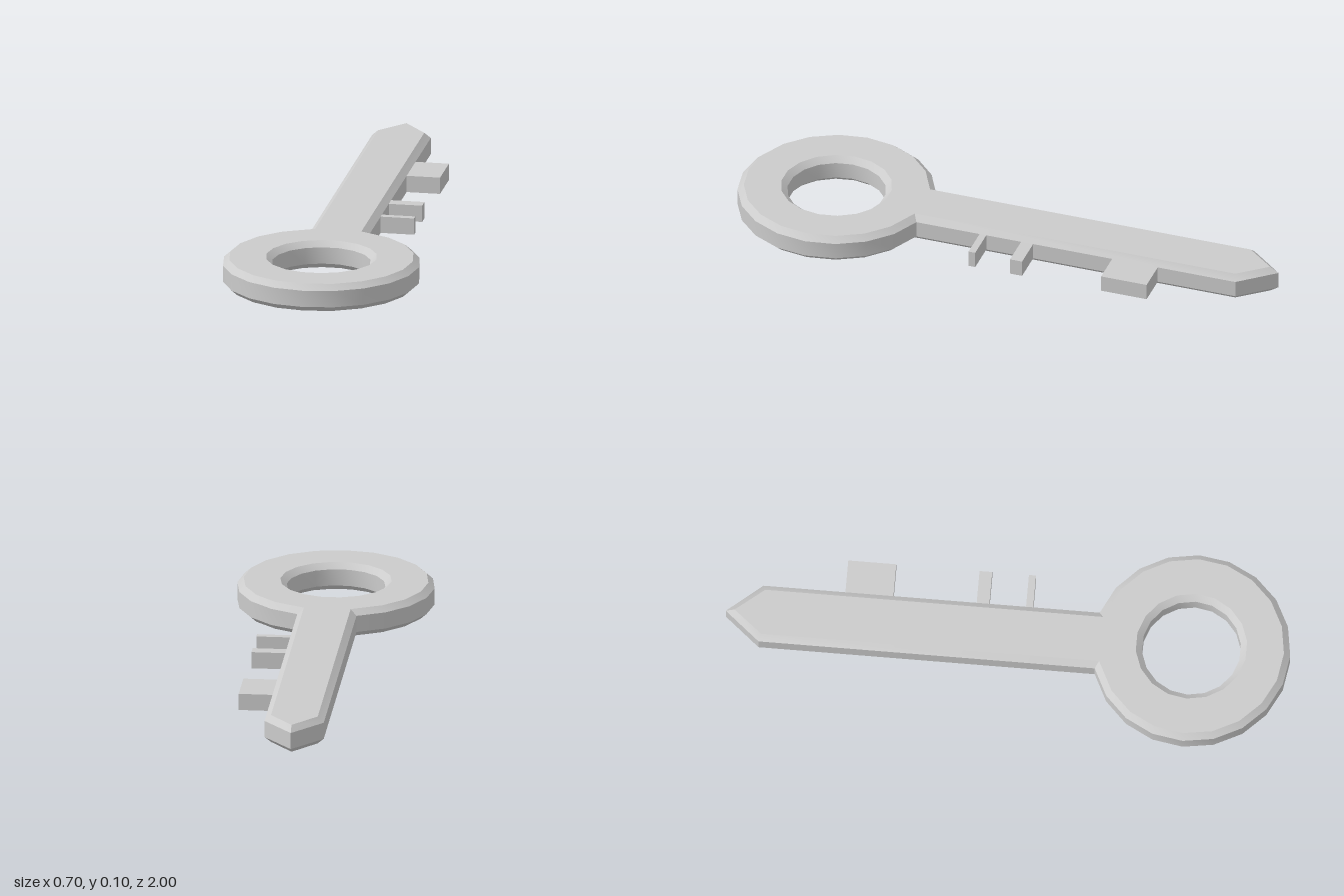
import * as THREE from 'three';
import { toCreasedNormals } from 'three/addons/utils/BufferGeometryUtils.js';

const RING_Z = 0.65, RING_R = 0.35, HOLE_R = 0.175;
const HALF_W = 0.105, SHOULDER_Z = -0.875, TIP_Z = -1;
const HEIGHT = 0.1, BEVEL_H = 0.02, BEVEL_W = 0.022;

export function createModel() {
  const key = new THREE.Group();
  key.name = 'key';
  const material = new THREE.MeshStandardMaterial({ color: 0xcccccc });

  // Outline drawn flat (shape y = -z): round bow, straight shank, pointed tip
  const joint = Math.asin(HALF_W / RING_R);
  const outline = new THREE.Shape();
  outline.absarc(0, -RING_Z, RING_R, Math.PI / 2 + joint, Math.PI * 2.5 - joint, false);
  outline.lineTo(HALF_W, -SHOULDER_Z);
  outline.lineTo(0, -TIP_Z);
  outline.lineTo(-HALF_W, -SHOULDER_Z);
  outline.closePath();

  const hole = new THREE.Path();
  hole.absarc(0, -RING_Z, HOLE_R, 0, Math.PI * 2, true);
  outline.holes.push(hole);

  // Bow and shank: one plate with chamfered edges
  const plate = new THREE.ExtrudeGeometry(outline, {
    depth: HEIGHT - 2 * BEVEL_H,
    bevelThickness: BEVEL_H,
    bevelSize: BEVEL_W,
    bevelOffset: -BEVEL_W,
    bevelSegments: 1,
    curveSegments: 9,
  });
  plate.translate(0, 0, BEVEL_H);
  plate.rotateX(-Math.PI / 2);
  const body = new THREE.Mesh(toCreasedNormals(plate, 0.6), material);
  body.name = 'bowAndShank';
  key.add(body);

  // Teeth along the left edge of the shank: [z start, z end]
  const teeth = new THREE.Group();
  teeth.name = 'teeth';
  const x0 = 0.095, x1 = 0.225;
  [[-0.585, -0.415], [-0.12, -0.075], [0.055, 0.08]].forEach(([z0, z1], i) => {
    const tooth = new THREE.Mesh(new THREE.BoxGeometry(x1 - x0, HEIGHT - 2 * BEVEL_H, z1 - z0), material);
    tooth.position.set((x0 + x1) / 2, HEIGHT / 2, (z0 + z1) / 2);
    tooth.name = `tooth${i + 1}`;
    teeth.add(tooth);
  });
  key.add(teeth);
  return key;
}
